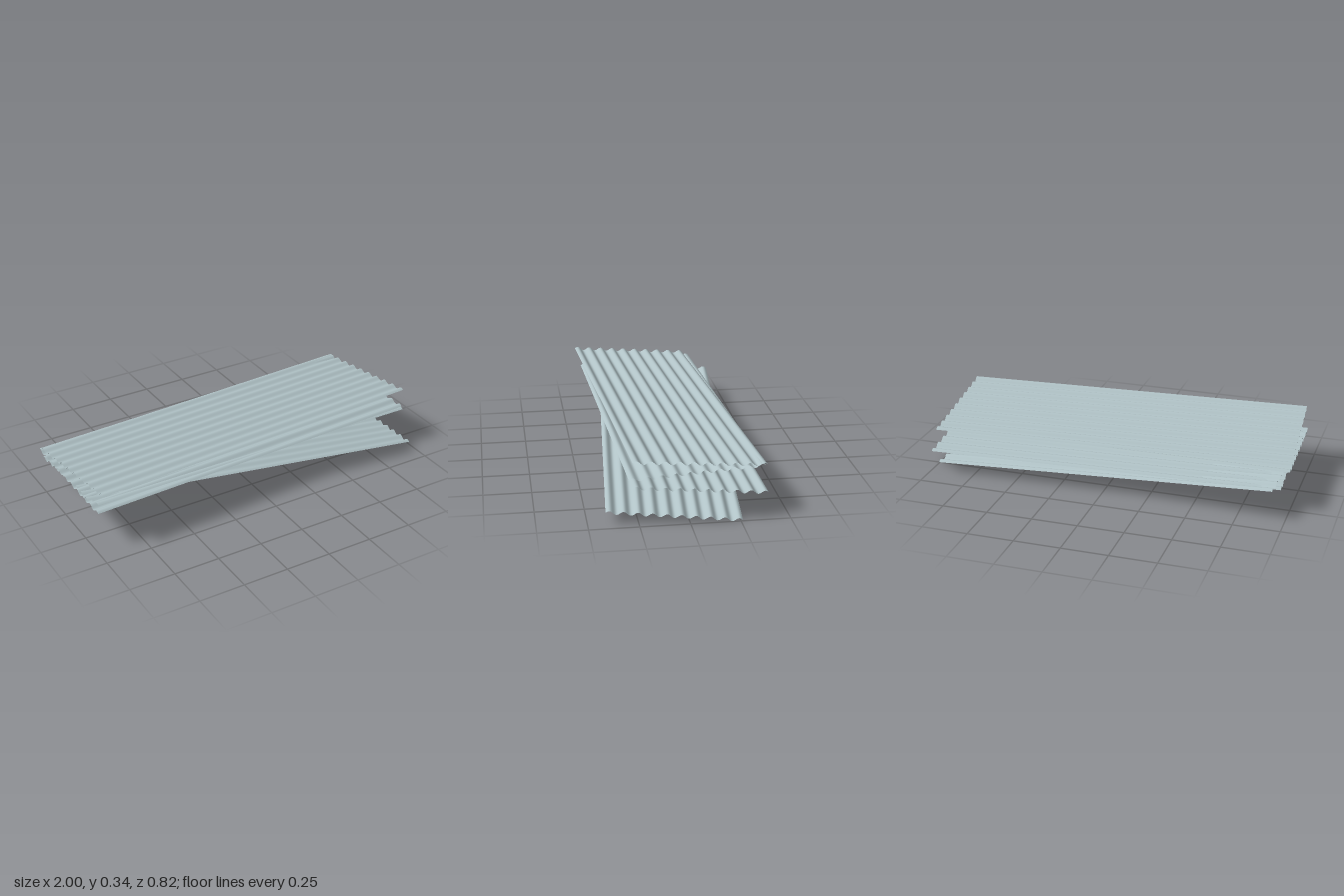
import * as THREE from 'three';

const WAVES = 9.5;       // corrugations across a sheet
const AMPLITUDE = 0.009; // half height of a corrugation

// Corrugated sheet stretched between four corners, with the waves running across its width
function corrugatedSheet(name, [backLeft, backRight, frontLeft, frontRight], material) {
  const bl = new THREE.Vector3(...backLeft), br = new THREE.Vector3(...backRight);
  const fl = new THREE.Vector3(...frontLeft), fr = new THREE.Vector3(...frontRight);
  const normal = fl.clone().sub(bl).cross(br.clone().sub(bl)).normalize();

  const geometry = new THREE.PlaneGeometry(1, 1, 4, WAVES * 12).rotateX(-Math.PI / 2);
  const pos = geometry.attributes.position;
  const back = new THREE.Vector3(), front = new THREE.Vector3();
  for (let i = 0; i < pos.count; i++) {
    const u = pos.getX(i) + 0.5, v = pos.getZ(i) + 0.5;
    back.lerpVectors(bl, br, u);
    front.lerpVectors(fl, fr, u);
    back.lerp(front, v);
    back.addScaledVector(normal, AMPLITUDE * Math.sin(2 * Math.PI * WAVES * v));
    pos.setXYZ(i, back.x, back.y, back.z);
  }
  geometry.computeVertexNormals();
  const mesh = new THREE.Mesh(geometry, material);
  mesh.name = name;
  return mesh;
}

export function createModel() {
  const group = new THREE.Group();
  group.name = 'corrugatedSheetStack';
  const metal = new THREE.MeshStandardMaterial({ color: 0xb0c2c6, side: THREE.DoubleSide });
  metal.name = 'galvanisedMetal';

  // Corners in order: back -x, back +x, front -x, front +x
  const sheets = {
    topSheet: [[-1, 0.264, -0.268], [0.94, 0.264, -0.392], [-0.957, 0.327, 0.405], [0.983, 0.327, 0.281]],
    upperSheet: [[-1, 0.243, -0.308], [0.944, 0.264, -0.38], [-0.975, 0.21, 0.37], [0.968, 0.231, 0.298]],
    lowerSheet: [[-0.966, 0.158, -0.352], [0.975, 0.131, -0.392], [-0.951, 0.226, 0.322], [0.99, 0.199, 0.282]],
    bottomSheet: [[-0.932, 0.172, -0.412], [1, 0.003, -0.26], [-0.983, 0.231, 0.26], [0.949, 0.062, 0.412]],
  };
  for (const [name, corners] of Object.entries(sheets)) {
    group.add(corrugatedSheet(name, corners, metal));
  }
  return group;
}
